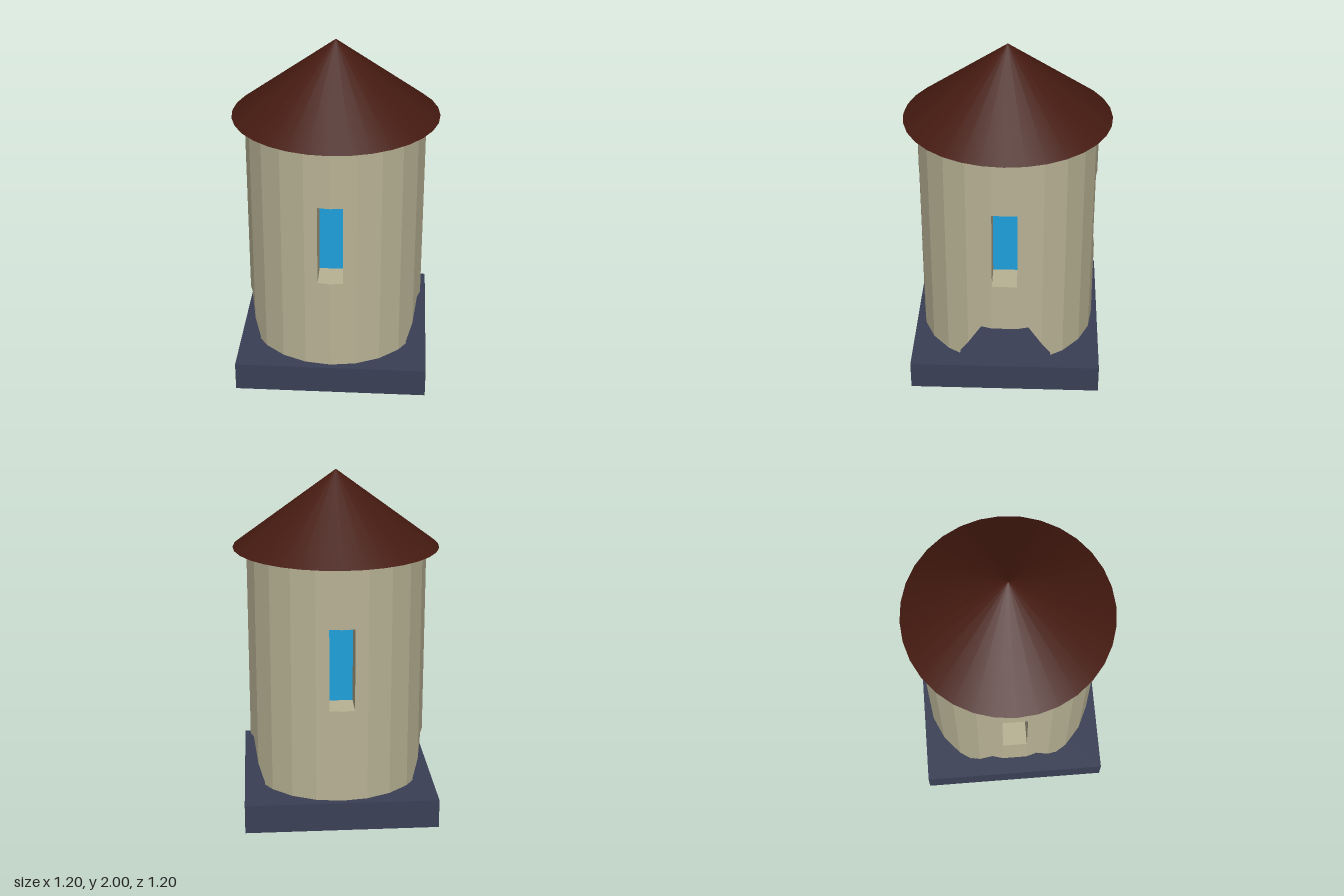
import * as THREE from 'three';
import { mergeGeometries } from 'three/addons/utils/BufferGeometryUtils.js';

const SIDES = 22, R = 0.525, STEP = (2 * Math.PI) / SIDES;
const BASE_TOP = 0.17, TUNNEL_MID = 0.18, TUNNEL_R = 0.277, EAVES = 1.555;
const TUNNEL_TOP = TUNNEL_MID + TUNNEL_R * Math.sqrt(0.75);
const WIN = { half: 0.0725, bottom: 0.72, top: 1.2, inner: 0.34 };

// Corner k of the tower's footprint as [x, z]; corner 0 faces the front
const corner = (k) => [R * Math.sin(k * STEP), R * Math.cos(k * STEP)];

// Solid slab of a footprint between two heights
function slab(points, y0, y1) {
  const shape = new THREE.Shape(points.map(([x, z]) => new THREE.Vector2(x, -z)));
  return new THREE.ExtrudeGeometry(shape, { depth: y1 - y0, bevelEnabled: false })
    .rotateX(-Math.PI / 2).translate(0, y0, 0);
}

// Footprint with a window recess on each of the four sides
function notchedFootprint() {
  const pts = [];
  const notch = (a, surface) => {
    for (const [l, r] of [[-1, surface], [-1, WIN.inner], [1, WIN.inner], [1, surface]]) {
      const s = l * WIN.half;
      pts.push([s * Math.cos(a) + r * Math.sin(a), -s * Math.sin(a) + r * Math.cos(a)]);
    }
  };
  const [x1, z1] = corner(1);
  const onRidge = R - (WIN.half * (R - z1)) / x1;
  const onFlat = R * Math.cos(STEP / 2);
  for (let k = 0; k < SIDES; k++) {
    if (k % 11 === 0) notch(k * STEP, onRidge);
    else pts.push(corner(k));
    if (k % 11 === 5) notch((k + 0.5) * STEP, onFlat);
  }
  return pts;
}

// Foot of the wall on one side of the tunnel: the footprint cut at z = w,
// where w follows the tunnel's six-sided profile
function tunnelLobe() {
  const z4 = corner(4)[1], slope = Math.sqrt(3);
  const levels = [
    [BASE_TOP, TUNNEL_R - (TUNNEL_MID - BASE_TOP) / slope],
    [TUNNEL_MID, TUNNEL_R],
    [TUNNEL_MID + (TUNNEL_R - z4) * slope, z4],
    [TUNNEL_TOP, TUNNEL_R / 2],
  ];
  const rings = levels.map(([y, w]) => {
    const k = w >= z4 ? 3 : 4;
    const [xa, za] = corner(k), [xb, zb] = corner(k + 1);
    const cut = [xa + ((xb - xa) * (za - w)) / (za - zb), w];
    const side = [...[0, 1, 2, 3].map(corner), k === 3 ? cut : corner(4), cut];
    const mirrored = side.slice(1).reverse().map(([x, z]) => [-x, z]);
    return [...mirrored, ...side].map(([x, z]) => [x, y, z]);
  });
  const pos = [];
  for (let r = 0; r < rings.length - 1; r++) {
    const lo = rings[r], hi = rings[r + 1];
    for (let i = 0; i < lo.length; i++) {
      const j = (i + 1) % lo.length;
      pos.push(...lo[i], ...lo[j], ...hi[j], ...lo[i], ...hi[j], ...hi[i]);
    }
  }
  const g = new THREE.BufferGeometry();
  g.setAttribute('position', new THREE.Float32BufferAttribute(pos, 3));
  g.computeVertexNormals();
  return g;
}

export function createModel() {
  const model = new THREE.Group();
  model.name = 'tower';
  const add = (name, geometry, color, flatShading = true) => {
    const mesh = new THREE.Mesh(geometry, new THREE.MeshStandardMaterial({ color, flatShading }));
    mesh.name = name;
    model.add(mesh);
    return mesh;
  };

  // Square plinth
  add('plinth', new THREE.BoxGeometry(1.12, BASE_TOP, 1.12).translate(0, BASE_TOP / 2, 0), 0x3a3f55);

  // Wall: two feet beside the tunnel, then stacked slabs
  const full = Array.from({ length: SIDES }, (_, k) => corner(k));
  const feet = mergeGeometries([tunnelLobe(), tunnelLobe().rotateY(Math.PI)]);
  add('wallFeet', feet, 0xb8b294);
  add('wall', mergeGeometries([
    slab(full, TUNNEL_TOP, WIN.bottom),
    slab(notchedFootprint(), WIN.bottom, WIN.top),
    slab(full, WIN.top, EAVES),
  ]), 0xb8b294);

  // Window panes at the back of each recess
  for (let i = 0; i < 4; i++) {
    const pane = new THREE.BoxGeometry(WIN.half * 2, WIN.top - WIN.bottom, 0.02)
      .translate(0, (WIN.top + WIN.bottom) / 2, WIN.inner - 0.005);
    add('windowPane', pane.rotateY((i * Math.PI) / 2), 0x1ea0dc);
  }

  // Conical roof
  const height = 2 - EAVES;
  add('roof', new THREE.ConeGeometry(0.6, height, 32).translate(0, EAVES + height / 2, 0), 0x451a10, false);
  return model;
}
